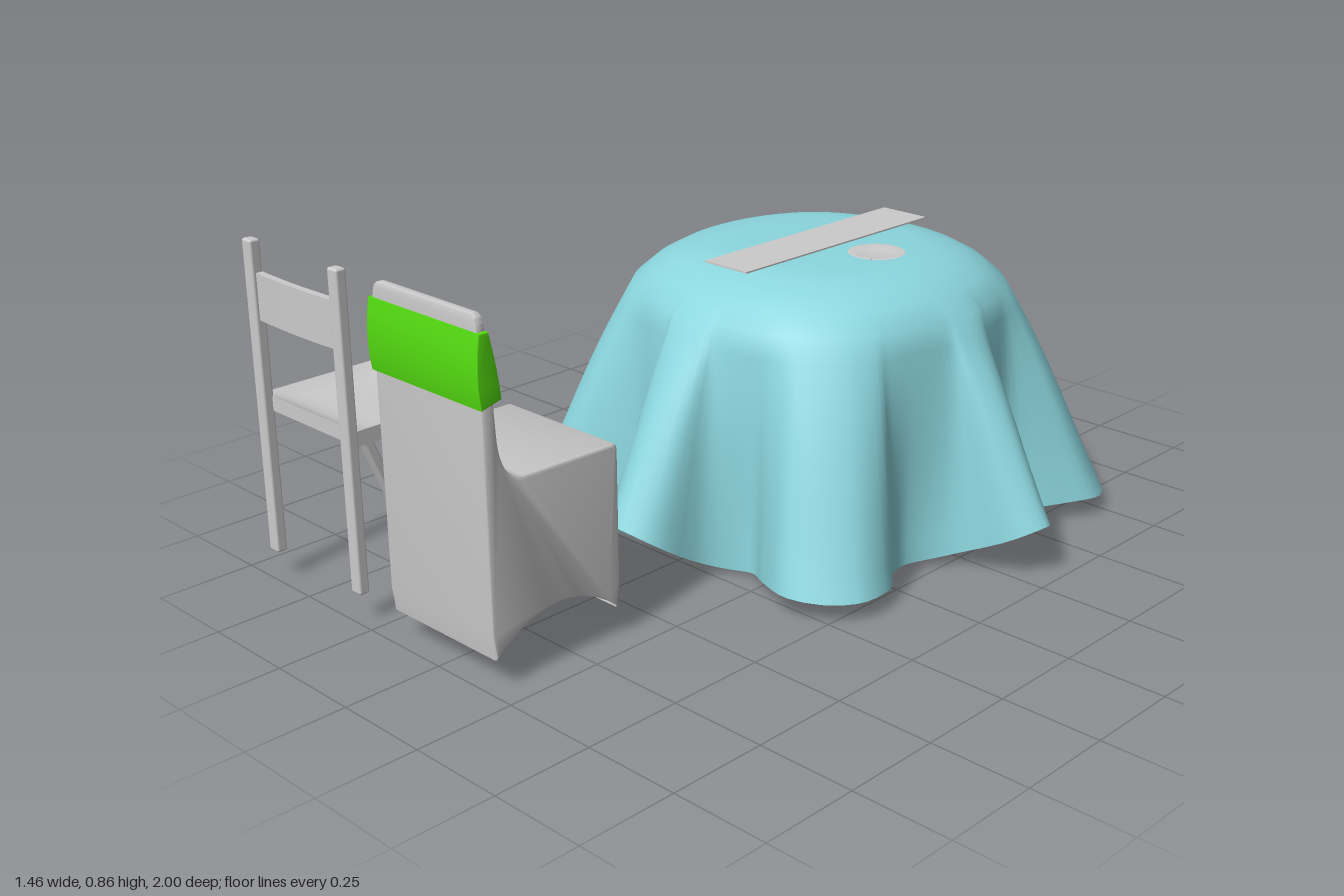
import * as THREE from 'three';
import { toCreasedNormals } from 'three/addons/utils/BufferGeometryUtils.js';
import { RoundedBoxGeometry } from 'three/addons/geometries/RoundedBoxGeometry.js';

const mat = (color) => new THREE.MeshStandardMaterial({ color, side: THREE.DoubleSide });
const grey = mat(0xcccccc), teal = mat(0x8cd6de), green = mat(0x55dd11);

function add(parent, name, geometry, material, x = 0, y = 0, z = 0) {
  const mesh = new THREE.Mesh(geometry, material);
  mesh.name = name;
  mesh.position.set(x, y, z);
  parent.add(mesh);
  return mesh;
}

// Side profile (z, y) extruded along x, centred on x = 0
function extrudeSide(shape, width, bevel) {
  const geometry = new THREE.ExtrudeGeometry(shape, {
    depth: width - 2 * bevel, bevelEnabled: true, bevelThickness: bevel, bevelSize: bevel,
    bevelOffset: -bevel, bevelSegments: 3, curveSegments: 12,
  });
  geometry.translate(0, 0, bevel - width / 2);
  geometry.rotateY(-Math.PI / 2);
  return geometry;
}

// Draped cloth: rings that blend from a rounded top to a wavy hem
function clothGeometry() {
  const cz = -0.27;
  // Hem outline seen from above (x, z): eight folds
  const hem = [
    [0.01, -1], [0.09, -0.94], [0.11, -0.82], [0.21, -0.745], [0.32, -0.81], [0.42, -0.85],
    [0.54, -0.81], [0.6, -0.7], [0.55, -0.6], [0.46, -0.48], [0.49, -0.38], [0.61, -0.375],
    [0.7, -0.34], [0.725, -0.29], [0.68, -0.23], [0.53, -0.2], [0.45, -0.1], [0.47, -0.02],
    [0.545, 0.08], [0.545, 0.2], [0.415, 0.3], [0.29, 0.25], [0.19, 0.19], [0.11, 0.265],
    [0.08, 0.41], [-0.01, 0.455], [-0.09, 0.4], [-0.1, 0.265], [-0.19, 0.195], [-0.31, 0.25],
    [-0.43, 0.305], [-0.52, 0.265], [-0.55, 0.175], [-0.5, 0.04], [-0.435, -0.07], [-0.5, -0.14],
    [-0.67, -0.14], [-0.73, -0.23], [-0.69, -0.29], [-0.55, -0.33], [-0.455, -0.42], [-0.5, -0.58],
    [-0.58, -0.69], [-0.55, -0.78], [-0.42, -0.84], [-0.27, -0.78], [-0.2, -0.74], [-0.1, -0.79],
  ];
  const curve = new THREE.CatmullRomCurve3(hem.map(([x, z]) => new THREE.Vector3(x, 0, z - cz)), true);
  // Radius and height of the rounded top
  const top = [[0, 0.73], [0.13, 0.73], [0.24, 0.728], [0.3, 0.72], [0.36, 0.702], [0.41, 0.674], [0.46, 0.63]];
  const drops = 10, n = 192, rings = top.length + drops;
  const pos = [], index = [];
  for (let i = 0; i < n; i++) {
    const h = curve.getPoint(i / n);
    const r = Math.hypot(h.x, h.z), a = Math.atan2(h.z, h.x);
    const c4 = Math.cos(4 * a);
    const q = 1 + 0.02 * (1 - c4);
    const flare = THREE.MathUtils.clamp((r - 0.48) / 0.25, 0, 1);
    const tip = 0.09 + 0.05 * c4 - 0.018 * Math.cos(a) + 0.02 * Math.sin(a);
    const hemY = 0.02 - 0.015 * Math.sin(a - 0.6) + tip * Math.pow(flare, 1.2);
    for (let k = 0; k < rings; k++) {
      let rad, y;
      if (k < top.length) {
        rad = top[k][0] * q;
        y = top[k][1];
      } else {
        const t = (k - top.length + 1) / drops;
        rad = THREE.MathUtils.lerp(0.46 * q, r, t) + 0.02 * Math.sin(Math.PI * t) * (1 - t);
        y = THREE.MathUtils.lerp(0.63, hemY, t);
      }
      pos.push(rad * Math.cos(a), y, cz + rad * Math.sin(a));
      if (k < rings - 1) {
        const p = i * rings + k, s = ((i + 1) % n) * rings + k;
        index.push(p, s, p + 1, s, s + 1, p + 1);
      }
    }
  }
  const geometry = new THREE.BufferGeometry();
  geometry.setAttribute('position', new THREE.Float32BufferAttribute(pos, 3));
  geometry.setIndex(index);
  geometry.computeVertexNormals();
  // The first ring of every strip is the shared centre point
  for (let i = 0; i < n; i++) geometry.attributes.normal.setXYZ(i * rings, 0, 1, 0);
  return geometry;
}

// Covered chair: hollow fabric shell with arched sides
function coveredChair() {
  const chair = new THREE.Group();
  chair.name = 'coveredChair';
  const s = new THREE.Shape();
  s.moveTo(0.98, 0.08);
  s.lineTo(0.988, 0.14);
  s.lineTo(0.988, 0.74);
  s.lineTo(0.958, 0.74);
  s.lineTo(0.95, 0.6);
  s.quadraticCurveTo(0.945, 0.49, 0.88, 0.488);
  s.lineTo(0.63, 0.485);
  s.quadraticCurveTo(0.612, 0.485, 0.612, 0.465);
  s.lineTo(0.614, 0.14);
  s.lineTo(0.625, 0.08);
  s.quadraticCurveTo(0.8, 0.23, 0.98, 0.08);
  const solid = extrudeSide(s, 0.366, 0.008);
  // Leave out the underside so the cover is open below
  const p = solid.attributes.position, kept = [];
  const a = new THREE.Vector3(), b = new THREE.Vector3(), c = new THREE.Vector3();
  const tri = new THREE.Triangle(a, b, c), normal = new THREE.Vector3();
  for (let i = 0; i < p.count; i += 3) {
    [a, b, c].forEach((v, j) => v.fromBufferAttribute(p, i + j));
    tri.getNormal(normal);
    if (normal.y < -0.4 && Math.max(a.y, b.y, c.y) < 0.2) continue;
    kept.push(...a.toArray(), ...b.toArray(), ...c.toArray());
  }
  const shell = new THREE.BufferGeometry();
  shell.setAttribute('position', new THREE.Float32BufferAttribute(kept, 3));
  add(chair, 'chairCover', toCreasedNormals(shell, 0.6), grey);

  // Narrower head of the backrest with clipped corners
  const head = new THREE.Shape();
  head.moveTo(-0.178, 0.73);
  head.lineTo(0.178, 0.73);
  head.lineTo(0.177, 0.835);
  head.quadraticCurveTo(0.174, 0.87, 0.155, 0.87);
  head.lineTo(-0.155, 0.87);
  head.quadraticCurveTo(-0.174, 0.87, -0.177, 0.835);
  const headGeometry = new THREE.ExtrudeGeometry(head, {
    depth: 0.014, bevelThickness: 0.004, bevelSize: 0.004, bevelOffset: -0.004, bevelSegments: 2,
  });
  add(chair, 'chairHead', toCreasedNormals(headGeometry, 0.6), grey, 0, 0, 0.969);

  // Coloured band around the backrest, bulging at the rear
  const w = new THREE.Shape();
  w.moveTo(0.99, 0.832);
  w.lineTo(0.965, 0.832);
  w.quadraticCurveTo(0.945, 0.75, 0.938, 0.678);
  w.lineTo(0.992, 0.665);
  w.quadraticCurveTo(1.007, 0.74, 0.99, 0.832);
  add(chair, 'backBand', toCreasedNormals(extrudeSide(w, 0.376, 0.002), 0.6), green);
  chair.position.x = 0.003;
  return chair;
}

// Simple open chair with slanted front legs
function openChair() {
  const chair = new THREE.Group();
  chair.name = 'openChair';
  for (const side of [-1, 1]) {
    add(chair, 'backPost', new RoundedBoxGeometry(0.036, 0.79, 0.028, 2, 0.006), grey, side * 0.168, 0.475, 0.984);
    const leg = add(chair, 'frontLeg', new RoundedBoxGeometry(0.032, 0.4, 0.028, 2, 0.006), grey, side * 0.164, 0.267, 0.705);
    leg.rotation.x = Math.atan2(0.15, 0.37);
  }
  // Dished seat
  const seat = new THREE.BoxGeometry(0.37, 0.038, 0.36, 16, 1, 16);
  const p = seat.attributes.position;
  for (let i = 0; i < p.count; i++) {
    const u = p.getX(i) / 0.185, v = p.getZ(i) / 0.18;
    if (p.getY(i) > 0) p.setY(i, p.getY(i) - 0.024 * (1 - u ** 6) * (1 - v ** 6));
  }
  seat.computeVertexNormals();
  add(chair, 'seat', seat, grey, 0, 0.465, 0.795);

  // Slightly bowed backrest board
  const rest = new THREE.BoxGeometry(0.32, 0.115, 0.018, 16, 1, 1);
  const q = rest.attributes.position;
  for (let i = 0; i < q.count; i++) q.setZ(i, q.getZ(i) + 0.006 * (1 - (q.getX(i) / 0.16) ** 2));
  rest.computeVertexNormals();
  add(chair, 'backrest', rest, grey, 0, 0.733, 0.979);
  chair.position.x = -0.474;
  return chair;
}

export function createModel() {
  const model = new THREE.Group();
  model.name = 'tableWithChairs';
  add(model, 'tablecloth', clothGeometry(), teal);
  add(model, 'runner', new THREE.BoxGeometry(0.142, 0.004, 0.69), grey, 0.004, 0.736, -0.265);

  // Shallow plate
  const plate = [[0, 0.003], [0.045, 0.003], [0.068, 0.008], [0.072, 0.007], [0.05, 0], [0, 0]];
  const plateGeometry = new THREE.LatheGeometry(plate.map(([x, y]) => new THREE.Vector2(x, y)), 32);
  add(model, 'plate', toCreasedNormals(plateGeometry, 0.5), grey, 0.19, 0.731, -0.27);

  model.add(coveredChair(), openChair());
  return model;
}
